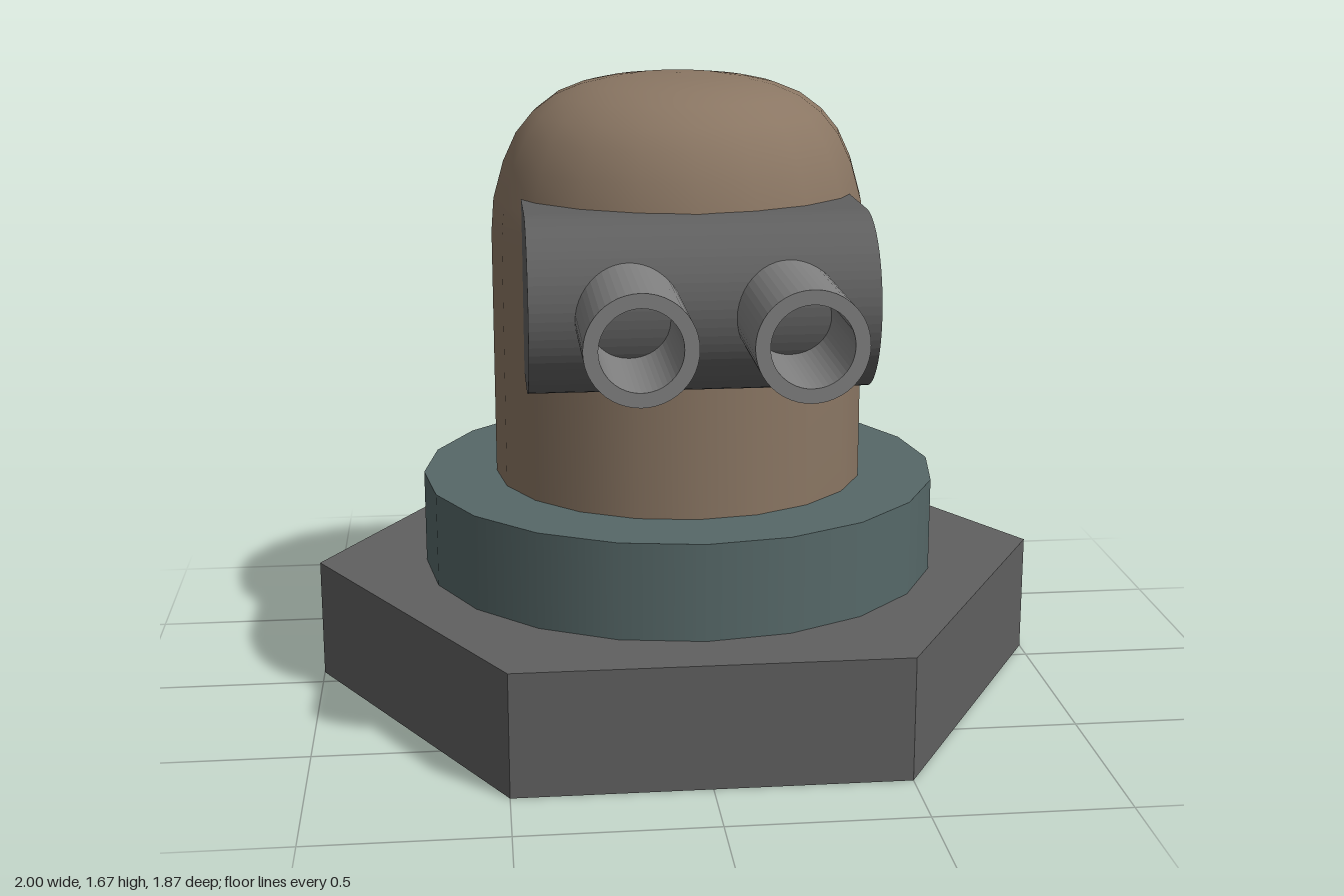
import * as THREE from 'three';

const AXIS_Z = -0.07; // the base, collar and dome share this upright axis

const paint = (color, extra = {}) => {
  const material = new THREE.MeshStandardMaterial({ ...extra });
  material.color.set(color);
  return material;
};

export function createModel() {
  const model = new THREE.Group();
  const add = (name, geometry, material, x, y, z, parent = model) => {
    const mesh = new THREE.Mesh(geometry, material);
    mesh.name = name;
    mesh.position.set(x, y, z);
    parent.add(mesh);
    return mesh;
  };

  const darkGrey = paint(0x606060);
  const teal = paint(0x566868, { side: THREE.DoubleSide });
  const pipeGrey = paint(0x808080, { side: THREE.DoubleSide });

  // Hexagonal base with corners on the x axis
  const hexagon = new THREE.CylinderGeometry(1, 1, 0.325, 6, 1, false, Math.PI / 6);
  add('hexBase', hexagon, paint(0x606060, { flatShading: true }), 0, 0.1625, AXIS_Z);

  // Collar: a full lid over a wall that is open for two of its twenty sides at the back
  const collar = new THREE.Group();
  collar.name = 'collar';
  collar.position.z = AXIS_Z;
  model.add(collar);
  const wall = new THREE.CylinderGeometry(0.705, 0.705, 0.255, 18, 1, true, Math.PI, Math.PI * 1.8);
  add('collarWall', wall, teal, 0, 0.4525, 0, collar);
  const lid = new THREE.CircleGeometry(0.705, 20).rotateX(-Math.PI / 2);
  add('collarLid', lid, teal, 0, 0.58, 0, collar);

  // Domed body, straight below and rounded to a flattened crown
  const profile = [
    [0.505, 0.57], [0.505, 1.25], [0.498, 1.34], [0.47, 1.44], [0.435, 1.515], [0.39, 1.57],
    [0.33, 1.615], [0.26, 1.643], [0.19, 1.658], [0.12, 1.666], [0, 1.67],
  ].map(([r, y]) => new THREE.Vector2(r, y));
  add('domedBody', new THREE.LatheGeometry(profile, 20), paint(0x8a7663), 0, 0, AXIS_Z);

  // Round-nosed block, its back buried in the body; drawn side-on, then extruded along x
  const R = 0.225, NOSE_Z = 0.39, BLOCK_Y = 1.145, WIDTH = 0.86;
  const side = new THREE.Shape();
  side.moveTo(0.05, -R);
  side.lineTo(-NOSE_Z, -R);
  side.absarc(-NOSE_Z, 0, R, -Math.PI / 2, -Math.PI * 1.5, true);
  side.lineTo(0.05, R);
  side.closePath();
  const block = new THREE.ExtrudeGeometry(side, { depth: WIDTH, bevelEnabled: false, curveSegments: 16 });
  block.translate(0, 0, -WIDTH / 2).rotateY(Math.PI / 2);
  add('pipeBlock', block, darkGrey, 0, BLOCK_Y, 0);

  // Two hollow pipes pointing forward
  const ring = new THREE.Shape().absarc(0, 0, 0.133, 0, Math.PI * 2);
  ring.holes.push(new THREE.Path().absarc(0, 0, 0.098, 0, Math.PI * 2, true));
  const pipe = new THREE.ExtrudeGeometry(ring, { depth: 0.4, bevelEnabled: false, curveSegments: 24 });
  add('rightPipe', pipe, pipeGrey, -0.185, BLOCK_Y, 0.535);
  add('leftPipe', pipe, pipeGrey, 0.207, BLOCK_Y, 0.535);

  return model;
}
